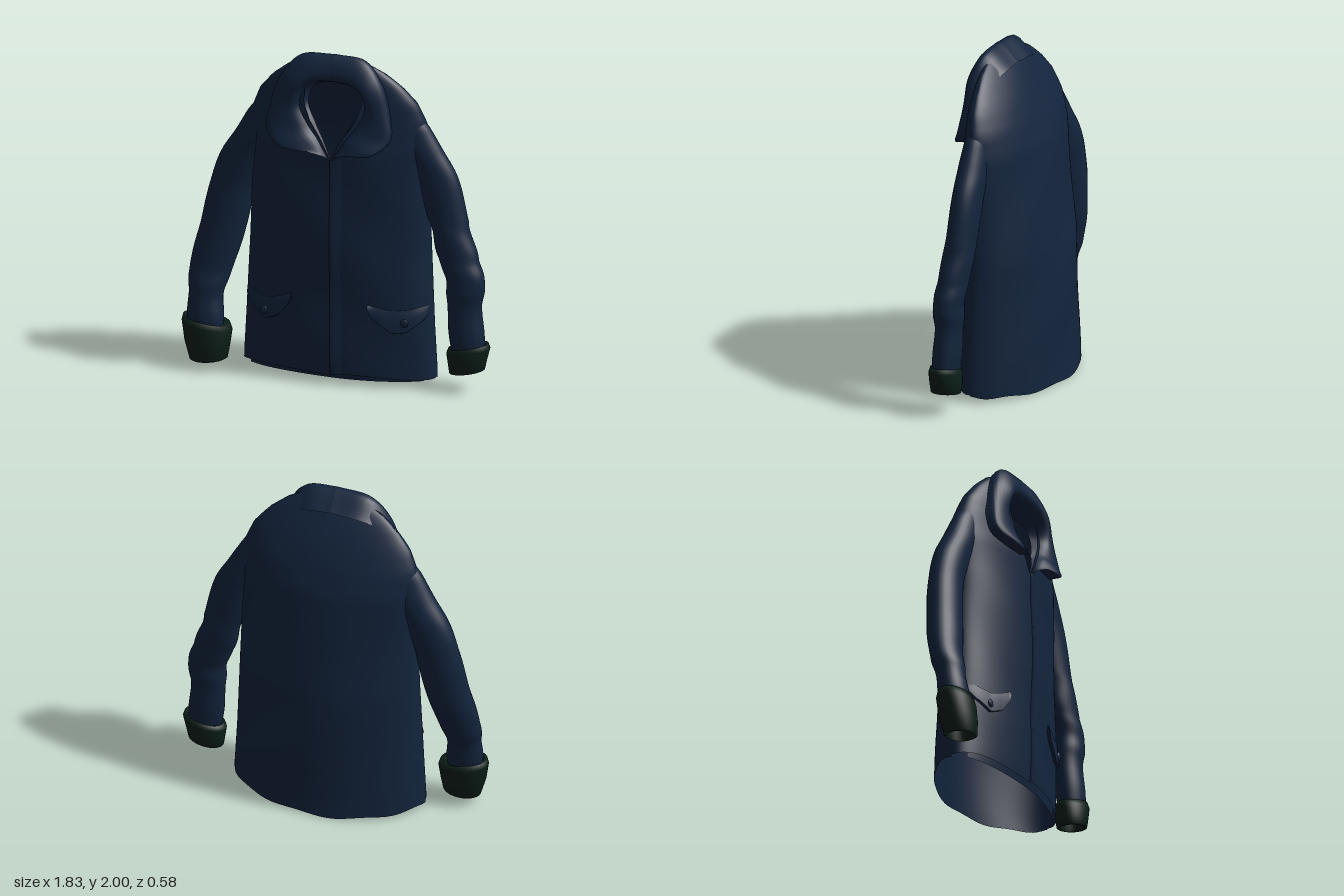
import * as THREE from 'three';

const cloth = new THREE.MeshStandardMaterial({ color: 0x13243d, side: THREE.DoubleSide });
const cuffCloth = new THREE.MeshStandardMaterial({ color: 0x0b1e18, side: THREE.DoubleSide });

const V = (x, y, z) => new THREE.Vector3(x, y, z);
const range = (n, f) => Array.from({ length: n + 1 }, (_, i) => f(i / n));

// Skin a surface over rows of points; closed joins the end of each row to its start.
function loft(rows, closed = false) {
  const n = rows[0].length, index = [];
  for (let r = 0; r < rows.length - 1; r++) {
    for (let c = 0; c < (closed ? n : n - 1); c++) {
      const a = r * n + c, b = r * n + (c + 1) % n;
      index.push(a, b, a + n, b, b + n, a + n);
    }
  }
  const g = new THREE.BufferGeometry().setFromPoints(rows.flat());
  g.setIndex(index);
  g.computeVertexNormals();
  return g;
}

// Body sections: height, half width, front z, back z, side z
const SECTIONS = [
  [0.00, 0.58, 0.205, -0.290, 0.02],
  [0.08, 0.58, 0.215, -0.285, 0.02],
  [0.35, 0.565, 0.225, -0.278, 0.02],
  [0.80, 0.545, 0.230, -0.260, 0.01],
  [1.10, 0.535, 0.230, -0.220, 0.01],
  [1.30, 0.535, 0.225, -0.195, 0.01],
  [1.45, 0.54, 0.220, -0.178, 0.02],
  [1.60, 0.525, 0.200, -0.130, 0.03],
  [1.72, 0.475, 0.185, -0.075, 0.05],
  [1.82, 0.39, 0.170, -0.020, 0.07],
  [1.90, 0.29, 0.155, 0.030, 0.09],
  [1.94, 0.21, 0.140, 0.060, 0.10],
];
const TOP = 1.94;
// Neck opening: height, half width
const OPENING = [[0, 0], [1.38, 0], [1.5, 0.06], [1.6, 0.13], [1.7, 0.17], [2, 0.17]];

function lookup(table, y) {
  let i = 0;
  while (i < table.length - 2 && table[i + 1][0] < y) i++;
  const a = table[i], b = table[i + 1];
  const t = THREE.MathUtils.clamp((y - a[0]) / (b[0] - a[0]), 0, 1);
  return a.map((v, k) => v + (b[k] - v) * t);
}

// Depth of the front or back cloth at (x, y)
function depth(x, y, back = false) {
  const [, w, zf, zb, zs] = lookup(SECTIONS, y);
  const bulge = Math.pow(Math.max(0, 1 - (x / w) ** 2), back ? 0.6 : 0.48);
  const fold = 0.005 * Math.sin(9 * y + 7 * x) * bulge;
  return zs + ((back ? zb : zf) - zs) * bulge + fold;
}

function backPanel() {
  return loft(range(44, (v) => range(40, (u) => {
    const a = (u - 0.5) * Math.PI;
    const hem = 0.006 + 0.03 * Math.sin(a) ** 2 + 0.006 * Math.sin(9 * a);
    const y = hem + (TOP - hem) * v;
    const x = lookup(SECTIONS, y)[1] * Math.sin(a);
    return V(x, y, depth(x, y, true));
  })));
}

function frontPanel(side) {
  return loft(range(50, (v) => range(24, (u) => {
    const hem = 0.065 + 0.008 * Math.sin(u * 5 + side) - 0.015 * u;
    const y = hem + (TOP - hem) * v;
    const w = lookup(SECTIONS, y)[1];
    const a0 = Math.asin(Math.min(lookup(OPENING, y)[1] / w, 0.9));
    const x = side * w * Math.sin(a0 + (Math.PI / 2 - a0) * u);
    return V(x, y, depth(x, y));
  })));
}

// Strip lying just inside the front cloth
function facing(halfWidth, y0, y1) {
  return loft(range(20, (v) => range(24, (u) => {
    const x = halfWidth * (2 * u - 1), y = y0 + (y1 - y0) * v;
    return V(x, y, depth(x, y) - 0.02);
  })));
}

// Half collar: each station runs neck edge, roll crest, fold, loose edge
const COLLAR = [
  [V(0, 1.80, 0.06), V(0, 1.87, 0.20), V(0, 2.0, 0.14), V(0, 1.90, 0.01)],
  [V(0.10, 1.79, 0.07), V(0.12, 1.86, 0.21), V(0.18, 1.98, 0.14), V(0.17, 1.88, 0.015)],
  [V(0.15, 1.76, 0.10), V(0.20, 1.80, 0.225), V(0.28, 1.86, 0.17), V(0.28, 1.81, 0.07)],
  [V(0.16, 1.68, 0.13), V(0.23, 1.68, 0.215), V(0.33, 1.68, 0.195), V(0.34, 1.66, 0.13)],
  [V(0.10, 1.57, 0.17), V(0.19, 1.57, 0.23), V(0.345, 1.53, 0.225), V(0.34, 1.50, 0.17)],
  [V(0.05, 1.48, 0.19), V(0.12, 1.50, 0.25), V(0.25, 1.45, 0.285), V(0.25, 1.46, 0.20)],
  [V(0, 1.37, 0.205), V(0.04, 1.41, 0.25), V(0.11, 1.44, 0.28), V(0.11, 1.45, 0.22)],
];

function collar(side, stretch) {
  const lines = [0, 1, 2, 3].map((k) => new THREE.CatmullRomCurve3(COLLAR.map((s) => s[k])));
  return loft(range(36, (t) => {
    const section = new THREE.CatmullRomCurve3(lines.map((l) => l.getPoint(t)));
    return range(16, (u) => {
      const p = section.getPoint(u);
      p.x *= side * (1 + stretch * u);
      return p;
    });
  }));
}

const ring = (x, y, z, rx, rz, tilt = 0) => range(27, (t) => {
  const a = t * Math.PI * 2 * 27 / 28;
  return V(x + rx * Math.cos(a), y + tilt * Math.cos(a), z + rz * Math.sin(a));
});

// Sleeve stations: x, y, z, x radius, z radius
function sleeve(stations) {
  const centre = new THREE.CatmullRomCurve3(stations.map((s) => V(s[0], s[1], s[2])));
  const radius = new THREE.CatmullRomCurve3(stations.map((s) => V(s[3], s[4], 0)));
  return loft(range(54, (t) => {
    const c = centre.getPoint(t), r = radius.getPoint(t);
    const fold = 0.005 * Math.sin(t * 48) * t ** 3;
    return ring(c.x, c.y, c.z, r.x + fold, r.y + fold);
  }), true);
}

const RIGHT_SLEEVE = [
  [-0.37, 1.70, 0.05, 0.07, 0.05], [-0.43, 1.57, 0.04, 0.12, 0.07],
  [-0.49, 1.44, 0.03, 0.135, 0.085], [-0.585, 1.28, 0.02, 0.14, 0.09],
  [-0.65, 1.10, 0.02, 0.135, 0.09], [-0.70, 0.85, 0.04, 0.138, 0.095],
  [-0.76, 0.60, 0.08, 0.13, 0.09], [-0.78, 0.45, 0.12, 0.105, 0.085],
  [-0.775, 0.24, 0.15, 0.105, 0.08],
];
const LEFT_SLEEVE = [
  [0.37, 1.70, 0.05, 0.07, 0.05], [0.425, 1.57, 0.04, 0.12, 0.07],
  [0.49, 1.44, 0.035, 0.13, 0.08], [0.575, 1.29, 0.03, 0.13, 0.082],
  [0.655, 1.02, 0.035, 0.12, 0.085], [0.72, 0.80, 0.05, 0.12, 0.085],
  [0.765, 0.67, 0.06, 0.116, 0.085], [0.76, 0.53, 0.06, 0.105, 0.08],
  [0.785, 0.22, 0.07, 0.10, 0.075],
];
// Turned-back cuff rings: x, y, z, x radius, z radius, tilt
const RIGHT_CUFF = [
  [-0.78, 0.28, 0.15, 0.10, 0.075, -0.015], [-0.768, 0.295, 0.15, 0.14, 0.095, -0.02],
  [-0.766, 0.26, 0.15, 0.15, 0.105, -0.02], [-0.76, 0.16, 0.16, 0.135, 0.105, 0],
  [-0.75, 0.065, 0.17, 0.112, 0.092, 0.01], [-0.75, 0.055, 0.17, 0.095, 0.075, 0.01],
  [-0.76, 0.20, 0.155, 0.085, 0.065, 0],
];
const LEFT_CUFF = [
  [0.785, 0.27, 0.07, 0.095, 0.07, 0.02], [0.785, 0.28, 0.07, 0.12, 0.08, 0.025],
  [0.785, 0.25, 0.07, 0.13, 0.09, 0.025], [0.78, 0.18, 0.07, 0.115, 0.09, 0.02],
  [0.778, 0.125, 0.072, 0.105, 0.082, 0.018], [0.778, 0.12, 0.072, 0.088, 0.068, 0.018],
  [0.78, 0.22, 0.07, 0.08, 0.06, 0.02],
];

// Pocket flap outline: x, top height, bottom height
const RIGHT_FLAP = [[-0.545, 0.50, 0.46], [-0.50, 0.495, 0.41], [-0.40, 0.475, 0.35], [-0.32, 0.50, 0.385], [-0.25, 0.53, 0.47], [-0.235, 0.54, 0.51]];
const LEFT_FLAP = [[0.22, 0.51, 0.49], [0.25, 0.505, 0.43], [0.36, 0.48, 0.345], [0.44, 0.485, 0.35], [0.53, 0.50, 0.42], [0.55, 0.50, 0.45]];

function flap(outline) {
  const x0 = outline[0][0], x1 = outline[outline.length - 1][0];
  return loft(range(24, (t) => {
    const x = x0 + (x1 - x0) * t;
    const [, top, bottom] = lookup(outline, x);
    const at = (s, lift) => {
      const y = top + (bottom - top) * s;
      return V(x, y, depth(x, y) + lift);
    };
    return [at(0, -0.005), at(0.03, 0.008), at(0.5, 0.014), at(0.97, 0.02), at(1, 0.016), at(1, -0.005)];
  }));
}

// Front overlap running down the centre
function placket() {
  return loft(range(40, (t) => {
    const y = 0.065 + 1.32 * t;
    return [[0, -0.01], [0, 0.008], [0.01, 0.011], [0.035, 0.006], [0.07, -0.001]]
      .map(([x, lift]) => V(x, y, depth(x, y) + lift));
  }));
}

export function createModel() {
  const jacket = new THREE.Group();
  jacket.name = 'jacket';
  const add = (name, geometry, material = cloth) => {
    const mesh = new THREE.Mesh(geometry, material);
    mesh.name = name;
    jacket.add(mesh);
    return mesh;
  };
  add('backPanel', backPanel());
  add('frontPanelLeft', frontPanel(1));
  add('frontPanelRight', frontPanel(-1));
  add('placket', placket());
  add('buttonFacing', facing(0.08, 0.05, 1.36));
  add('hemFacing', facing(0.52, 0.035, 0.13));
  add('collarLeft', collar(1, 0));
  add('collarRight', collar(-1, 0.14));
  add('sleeveLeft', sleeve(LEFT_SLEEVE));
  add('sleeveRight', sleeve(RIGHT_SLEEVE));
  add('cuffLeft', loft(LEFT_CUFF.map((r) => ring(...r)), true), cuffCloth);
  add('cuffRight', loft(RIGHT_CUFF.map((r) => ring(...r)), true), cuffCloth);
  add('pocketFlapLeft', flap(LEFT_FLAP));
  add('pocketFlapRight', flap(RIGHT_FLAP));
  for (const [name, x, y] of [['buttonLeft', 0.43, 0.41], ['buttonRight', -0.41, 0.40]]) {
    const button = add(name, new THREE.SphereGeometry(0.025, 16, 10));
    button.scale.z = 0.4;
    button.position.set(x, y, depth(x, y) + 0.018);
  }
  return jacket;
}
